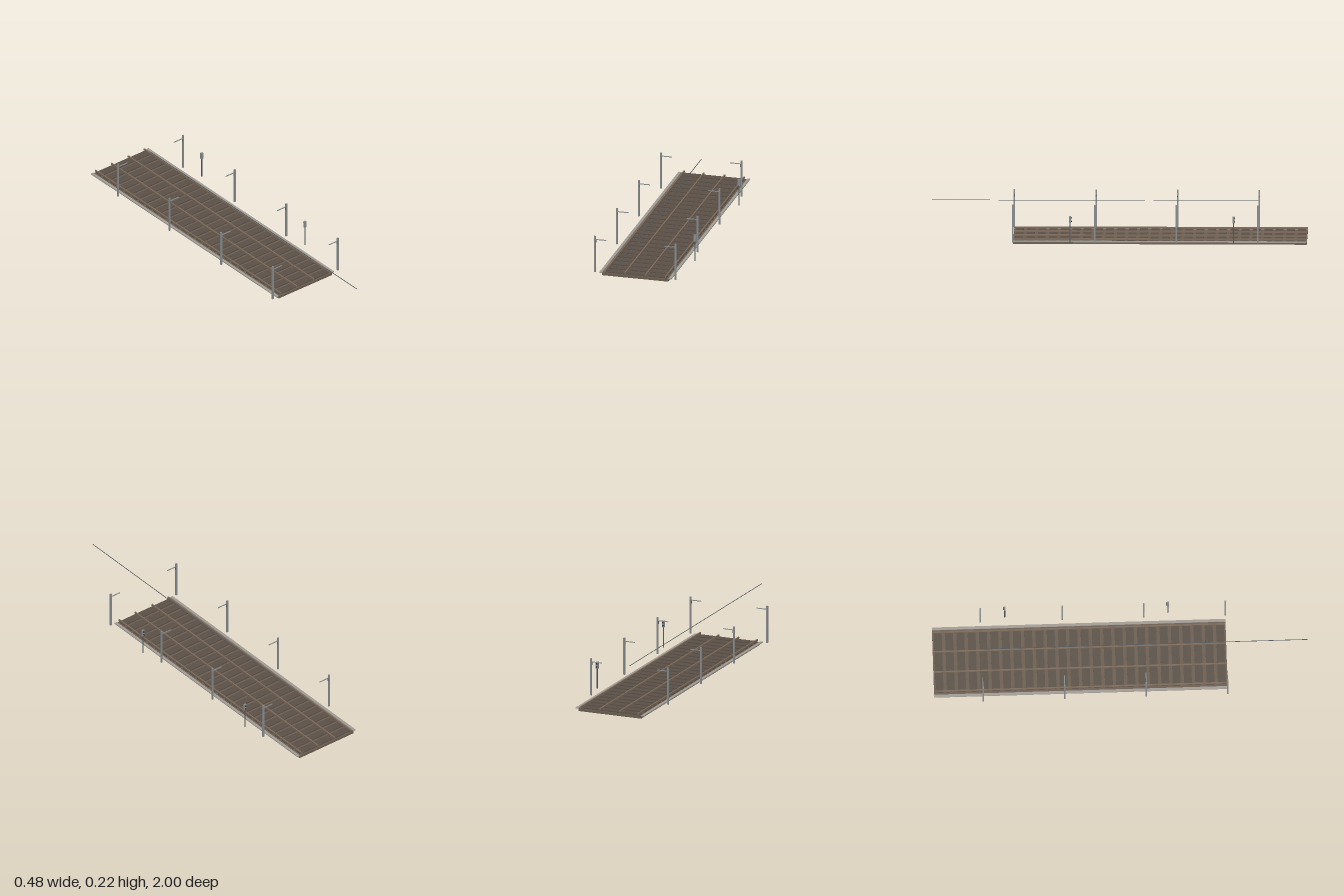
import * as THREE from 'three';

const material = (name, color) => {
  const m = new THREE.MeshStandardMaterial({ color });
  m.name = name;
  return m;
};

export function createModel() {
  const ballastBrown = material('ballast brown', 0x6b5d50);
  const sleeperBrown = material('sleeper brown', 0x5a5047);
  const railBrown = material('rail brown', 0x7c6a5a);
  const concrete = material('concrete grey', 0xa09c94);
  const steel = material('steel grey', 0x868b8e);
  const darkSteel = material('dark steel', 0x50585f);
  const lampDark = material('lamp dark', 0x2c2f33);

  const model = new THREE.Group();
  model.name = 'railwayTrack';

  // Box given by its centre, with y as the bottom
  function box(parent, name, mat, w, h, d, x, y, z) {
    const mesh = new THREE.Mesh(new THREE.BoxGeometry(w, h, d), mat);
    mesh.name = name;
    mesh.position.set(x, y + h / 2, z);
    parent.add(mesh);
    return mesh;
  }

  const cx = -0.0133, length = 1.565, cz = -1 + length / 2;

  // Track bed with a walkway along each edge
  box(model, 'ballastBed', ballastBrown, 0.366, 0.0135, length, cx, 0, cz);
  for (const s of [-1, 1]) {
    box(model, 'edgeWalkway', concrete, 0.015, 0.006, length, cx + s * 0.1905, 0.0125, cz);
  }

  // Sleepers
  const count = 26, pitch = length / count;
  for (let i = 0; i < count; i++) {
    box(model, 'sleeper', sleeperBrown, 0.34, 0.0065, pitch * 0.7, cx, 0.0133, -1 + (i + 0.5) * pitch);
  }

  // Two tracks, each with two rails
  for (const track of [-0.112, 0.112]) {
    for (const s of [-1, 1]) {
      box(model, 'rail', railBrown, 0.007, 0.0095, length, cx + track + s * 0.0547, 0.0195, cz);
    }
  }

  // Masts with arms reaching over the tracks, in mirrored pairs
  for (let i = 0; i < 4; i++) {
    for (const s of [-1, 1]) {
      const mast = new THREE.Group();
      mast.name = 'overheadMast';
      mast.position.set(cx + s * 0.2235, 0, -0.74 + i * 0.435);
      box(mast, 'mastPost', steel, 0.009, 0.204, 0.008, 0, 0.015, 0);
      box(mast, 'mastArm', steel, 0.06, 0.004, 0.004, -s * 0.0325, 0.198, 0);
      box(mast, 'armBracket', darkSteel, 0.003, 0.017, 0.004, -s * 0.0055, 0.182, 0);
      model.add(mast);
    }
  }

  // Overhead wire
  box(model, 'overheadWire', darkSteel, 0.003, 0.002, 1.74, cx, 0.202, 0.13);

  // Signals beside the track, lamps facing the back
  for (const z of [-0.61, 0.26]) {
    const signal = new THREE.Group();
    signal.name = 'signal';
    signal.position.set(0.2325, 0, z);
    const post = new THREE.Mesh(new THREE.CylinderGeometry(0.003, 0.003, 0.114, 10), darkSteel);
    post.name = 'signalPost';
    post.position.y = 0.072;
    signal.add(post);
    box(signal, 'signalHead', steel, 0.014, 0.036, 0.01, 0, 0.127, 0);
    for (const y of [0.136, 0.154]) {
      const lamp = new THREE.Mesh(new THREE.CylinderGeometry(0.004, 0.004, 0.004, 12), lampDark);
      lamp.name = 'signalLamp';
      lamp.rotation.x = Math.PI / 2;
      lamp.position.set(0, y, -0.007);
      signal.add(lamp);
    }
    model.add(signal);
  }

  return model;
}
